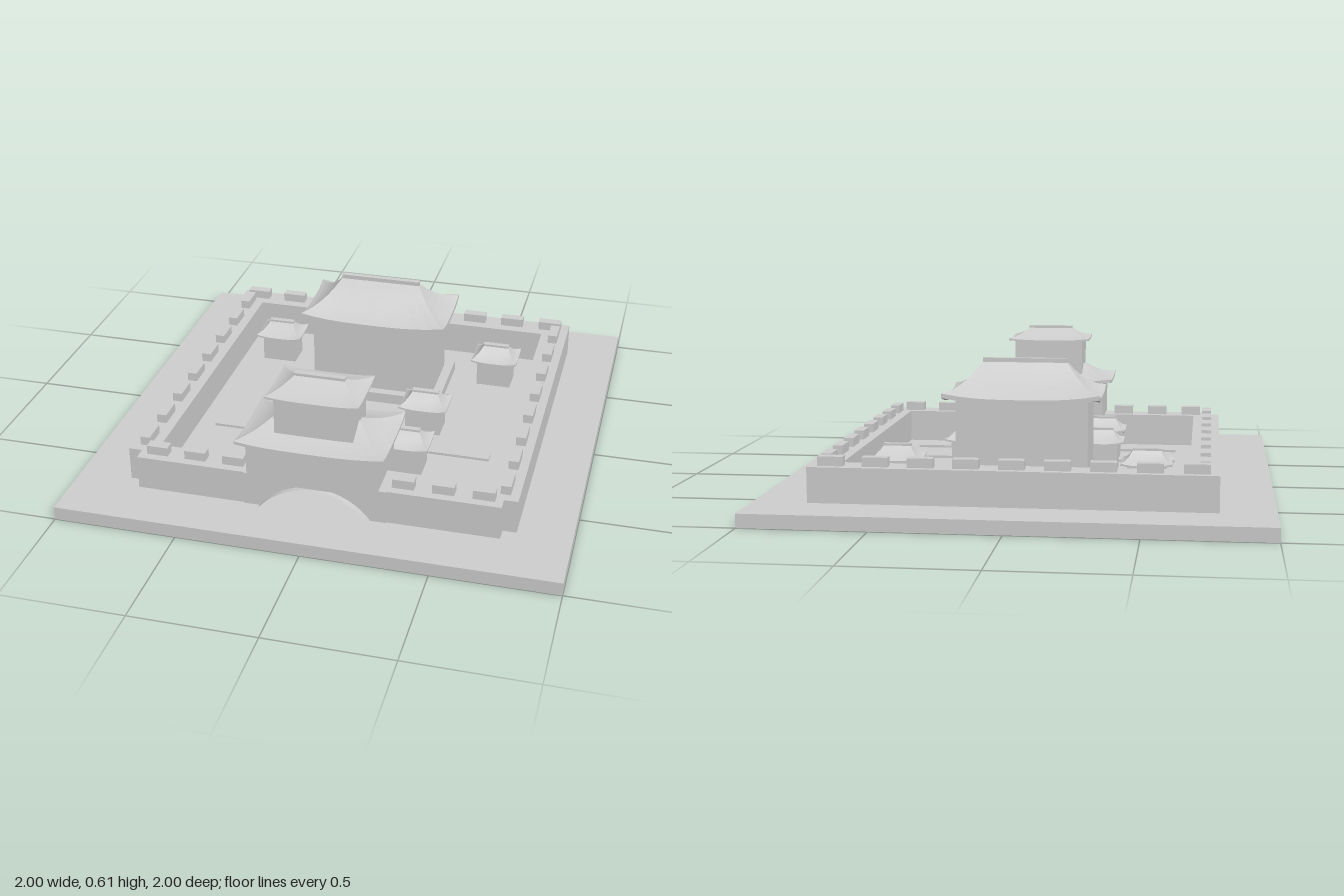
import * as THREE from 'three';

const stone = new THREE.MeshStandardMaterial({ color: 0xcccccc, flatShading: true, side: THREE.DoubleSide });
stone.name = 'stone grey';

function add(parent, name, geometry) {
  const mesh = new THREE.Mesh(geometry, stone);
  mesh.name = name;
  parent.add(mesh);
  return mesh;
}

// box given by its low and high limits on each axis
function box(parent, name, x0, x1, y0, y1, z0, z1) {
  const g = new THREE.BoxGeometry(x1 - x0, y1 - y0, z1 - z0);
  g.translate((x0 + x1) / 2, (y0 + y1) / 2, (z0 + z1) / 2);
  return add(parent, name, g);
}

// hipped roof with concave slopes and upswept corners, closed underneath
function roofGeometry({ w, d, ridge, ridgeDepth, eave, top, lift, thick }) {
  const rows = 6, cols = 10, pos = [], idx = [];
  // rings from the underside, round the eave edge, up to the ridge: [inset, drop]
  const rings = [[0.9, thick], [0.3, thick], [0, thick]];
  for (let i = 0; i <= rows; i++) rings.push([i / rows, 0]);
  for (let side = 0; side < 4; side++) {
    const start = pos.length / 3;
    rings.forEach(([t, drop], ring) => {
      const hx = THREE.MathUtils.lerp(w, ridge, t);
      const hz = THREE.MathUtils.lerp(d, ridgeDepth, t);
      for (let j = 0; j <= cols; j++) {
        const s = (j / cols) * 2 - 1;
        const rise = ring < 3 ? 0 : (top - eave) * (0.45 * t + 0.55 * t * t);
        const y = eave + rise + lift * Math.abs(s) ** 3 * (1 - t) ** 2 - drop;
        const p = [[s * hx, hz], [hx, -s * hz], [-s * hx, -hz], [-hx, s * hz]][side];
        pos.push(p[0], y, p[1]);
      }
    });
    for (let i = 0; i < rings.length - 1; i++) {
      for (let j = 0; j < cols; j++) {
        const a = start + i * (cols + 1) + j, b = a + cols + 1;
        idx.push(a, a + 1, b, a + 1, b + 1, b);
      }
    }
  }
  const g = new THREE.BufferGeometry();
  g.setAttribute('position', new THREE.Float32BufferAttribute(pos, 3));
  g.setIndex(idx);
  g.computeVertexNormals();
  return g;
}

function roof(parent, name, x, z, options, ridgeCap = 0) {
  const o = { ridgeDepth: 0.012, thick: 0.012, ...options };
  add(parent, name, roofGeometry(o)).position.set(x, 0, z);
  if (ridgeCap) {
    box(parent, name + 'Ridge', x - o.ridge, x + o.ridge, o.top - 0.01, o.top + ridgeCap,
      z - o.ridgeDepth, z + o.ridgeDepth);
  }
}

function addWalls(parent) {
  const lo = 0.055, hi = 0.195, cap = 0.232;
  box(parent, 'backWall', -0.785, 0.785, lo, hi, -0.785, -0.67);
  for (const s of [-1, 1]) {
    const side = s < 0 ? 'right' : 'left';
    const span = (name, a, b, y0, y1, z0, z1) =>
      box(parent, side + name, Math.min(s * a, s * b), Math.max(s * a, s * b), y0, y1, z0, z1);
    span('Wall', 0.67, 0.785, lo, hi, -0.67, 0.725);
    span('FrontWall', 0.285, 0.73, lo, hi, 0.67, 0.78);
    // battlements
    for (let i = 0; i < 8; i++) {
      const z = -0.643 + i * 0.1825;
      span('Battlement', 0.71, 0.75, hi, cap, z - 0.052, z + 0.052);
    }
    for (let i = 0; i < 3; i++) {
      const x = 0.342 + i * 0.157;
      span('FrontBattlement', x - 0.043, x + 0.043, hi, cap, 0.702, 0.746);
    }
    // low courtyard kerbs with a gap on the centre line
    for (const z of [0.23, 0.495]) span('Kerb', 0.022, 0.593, lo, 0.066, z - 0.02, z + 0.02);
  }
  for (let i = 0; i < 9; i++) {
    const x = -0.7 + i * 0.175;
    box(parent, 'backBattlement', x - 0.05, x + 0.05, hi, cap, -0.757, -0.715);
  }
}

function addGate(parent) {
  // gate base pierced by a wide arch
  const shape = new THREE.Shape();
  shape.moveTo(-0.285, 0.055);
  shape.lineTo(-0.2237, 0.055);
  shape.absarc(0, -0.105, 0.275, Math.PI / 2 + 0.95, Math.PI / 2 - 0.95, true);
  shape.lineTo(0.285, 0.055);
  shape.lineTo(0.285, 0.195);
  shape.lineTo(-0.285, 0.195);
  const base = new THREE.ExtrudeGeometry(shape, { depth: 0.115, bevelEnabled: false, curveSegments: 20 });
  add(parent, 'gateBase', base.translate(0, 0, 0.67));

  // thin vault running through the base
  const vault = new THREE.CylinderGeometry(0.275, 0.275, 0.29, 20, 1, true, -0.95, 1.9);
  add(parent, 'gateVault', vault.rotateX(-Math.PI / 2).translate(0, -0.105, 0.665));

  // two storeys with curved roofs
  box(parent, 'gateHall', -0.255, 0.255, 0.195, 0.357, 0.525, 0.835);
  roof(parent, 'gateLowerRoof', 0, 0.675,
    { w: 0.292, d: 0.188, ridge: 0.16, eave: 0.368, top: 0.44, lift: 0.015 });
  box(parent, 'gateUpperHall', -0.155, 0.155, 0.38, 0.548, 0.578, 0.78);
  roof(parent, 'gateUpperRoof', 0, 0.675,
    { w: 0.182, d: 0.13, ridge: 0.1, eave: 0.553, top: 0.6, lift: 0.008, thick: 0.008 }, 0.011);
}

function addMainHall(parent) {
  box(parent, 'hallPlatform', -0.305, 0.305, 0.055, 0.1, -0.495, -0.115);
  box(parent, 'mainHall', -0.265, 0.265, 0.1, 0.412, -0.44, -0.155);
  roof(parent, 'mainRoof', 0, -0.305,
    { w: 0.314, d: 0.178, ridge: 0.172, eave: 0.422, top: 0.553, lift: 0.022, thick: 0.018 }, 0.017);
}

function addPavilions(parent) {
  for (const [px, z] of [[0.5, -0.443], [0.28, 0.04], [0.27, 0.36]]) {
    for (const s of [-1, 1]) {
      const x = s * px;
      box(parent, 'pavilion', x - 0.075, x + 0.075, 0.055, 0.17, z - 0.058, z + 0.058);
      roof(parent, 'pavilionRoof', x, z,
        { w: 0.1, d: 0.082, ridge: 0.056, eave: 0.176, top: 0.226, lift: 0.01, thick: 0.008 }, 0.009);
    }
  }
}

export function createModel() {
  const model = new THREE.Group();
  model.name = 'walledPalace';
  box(model, 'ground', -1, 1, 0, 0.055, -1, 1);
  const parts = { walls: addWalls, gate: addGate, hall: addMainHall, pavilions: addPavilions };
  for (const [name, build] of Object.entries(parts)) {
    const group = new THREE.Group();
    group.name = name;
    build(group);
    model.add(group);
  }
  return model;
}
